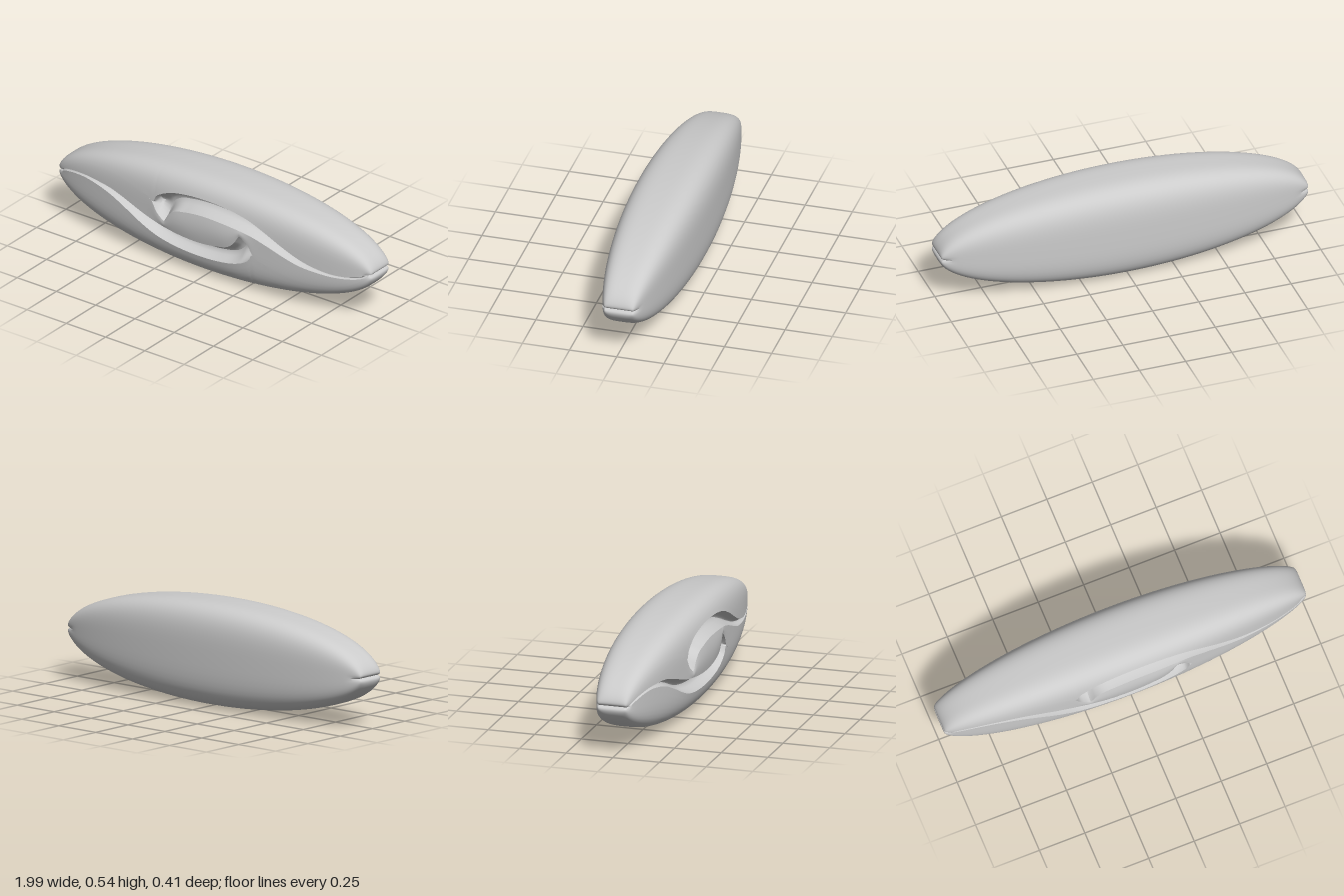
import * as THREE from 'three';
import { toCreasedNormals } from 'three/addons/utils/BufferGeometryUtils.js';

const MID = 0.268, HALF = 0.268, COLS = 260, POW = 3.6;

// smooth height along x through a few points
function curve(points) {
  const f = new THREE.CubicInterpolant(points.map(p => p[0]), points.map(p => p[1]), 1, [0]);
  return x => f.evaluate(x)[0];
}

// past the hook both edges run together, so the groove closes
const rest = [[0.315, -0.05], [0.4, -0.09], [0.6, -0.13], [0.85, -0.09], [1, 0]];
const innerEdge = curve([[-1, 0], [-0.92, 0.03], [-0.8, 0.048], [-0.7, 0.047], [-0.6, 0.037],
  [-0.5, 0.01], [-0.4, -0.024], [-0.3, -0.052], [-0.2, -0.068], [-0.1, -0.077], [0, -0.078],
  [0.1, -0.066], [0.18, -0.042], [0.22, 0], [0.235, 0.028], [0.26, 0.018], [0.3, -0.02], ...rest]);
const outerEdge = curve([[-1, -0.01], [-0.92, 0.018], [-0.8, 0.034], [-0.7, 0.025], [-0.6, 0],
  [-0.5, -0.042], [-0.4, -0.09], [-0.3, -0.13], [-0.2, -0.152], [-0.1, -0.162], [0, -0.164],
  [0.1, -0.158], [0.2, -0.14], [0.27, -0.11], [0.3, -0.085], ...rest]);

// lower groove at x: [outer, inner], relative to the middle line
function groove(x, limit) {
  const c = y => THREE.MathUtils.clamp(y, -limit, limit);
  const inner = innerEdge(x);
  const outer = x > 0.315 ? inner : Math.min(outerEdge(x), inner);
  return [c(outer), c(inner)];
}

// one closed cross-section of the body at x
function section(x) {
  const round = Math.max(0, 1 - x * x);
  const H = HALF * Math.sqrt(round);
  const front = 0.065 + 0.122 * Math.pow(round, 0.7);
  const back = 0.08 + 0.125 * Math.pow(round, 0.7);
  const shift = 0.012 * round;
  const pts = [];
  const put = (y, depth, dz) => {
    const v = H > 1e-6 ? Math.min(1, Math.abs(y / H)) : 0;
    const z = depth * Math.pow(1 - Math.pow(v, POW), 1 / POW) + dz;
    // small notch where the two halves meet at the tips
    const near = THREE.MathUtils.smoothstep(Math.abs(x), 0.9, 1);
    pts.push([x * (1 - 0.022 * near * Math.exp(-Math.abs(y) / 0.008)), MID + y, z]);
  };

  const [b1, t1] = groove(x, 0.8 * H).map(y => y + Math.min(shift, 0.1 * H));
  const [t2, b2] = groove(-x, 0.8 * H).map(y => -y + Math.min(shift, 0.1 * H));
  const low = Math.max(b2, t1);
  const lift = Math.exp(-Math.pow(x / 0.25, 4));
  const cut = w => Math.min(0.07, w * 0.9);
  const dish = s => Math.pow(Math.max(0, Math.sin(Math.PI * s)), 0.75);
  const ease = s => (1 - Math.cos(Math.PI * s)) / 2;

  // front: lower half, lower groove, raised centre, upper groove, upper half
  const bands = [
    [-H, b1, 14, s => s ** 3, () => 0],
    [b1, t1, 12, ease, s => 0.008 * lift * s - cut(t1 - b1) * dish(s)],
    [t1, low, 12, s => s, s => lift * (0.008 + 0.008 * Math.sin(Math.PI * s))],
    [low, Math.max(t2, low), 12, ease, s => 0.008 * lift * (1 - s) - cut(t2 - low) * dish(s)],
    [Math.max(t2, low), H, 14, s => 1 - (1 - s) ** 3, () => 0],
  ];
  for (const [from, to, n, spread, dz] of bands) {
    for (let k = 0; k < n; k++) {
      const s = spread(k / n);
      put(from + (to - from) * s, front, dz(s));
    }
  }
  // back: plain, from top to bottom
  const N = 36;
  for (let k = 0; k < N; k++) {
    const c = 1 - 2 * k / N;
    put(H * Math.sign(c) * (1 - Math.pow(1 - Math.abs(c), 3)), -back, 0);
  }
  return pts;
}

function bodyGeometry() {
  const pos = [], index = [];
  let n = 0;
  for (let i = 0; i <= COLS; i++) {
    const ring = section(Math.sin((i / COLS - 0.5) * Math.PI));
    n = ring.length;
    ring.forEach(p => pos.push(...p));
  }
  for (let i = 0; i < COLS; i++) {
    for (let j = 0; j < n; j++) {
      const a = i * n + j, d = i * n + (j + 1) % n;
      index.push(a, a + n, d + n, a, d + n, d);
    }
  }
  const g = new THREE.BufferGeometry();
  g.setAttribute('position', new THREE.Float32BufferAttribute(pos, 3));
  g.setIndex(index);
  // enlarged while creasing so that close vertices stay distinct
  g.scale(100, 100, 100);
  const creased = toCreasedNormals(g, 0.6);
  creased.scale(0.01, 0.01, 0.01);
  return creased;
}

export function createModel() {
  const group = new THREE.Group();
  group.name = 'carvedOval';
  const body = new THREE.Mesh(bodyGeometry(), new THREE.MeshStandardMaterial({ color: 0xcccccc }));
  body.name = 'body';
  group.add(body);
  return group;
}
